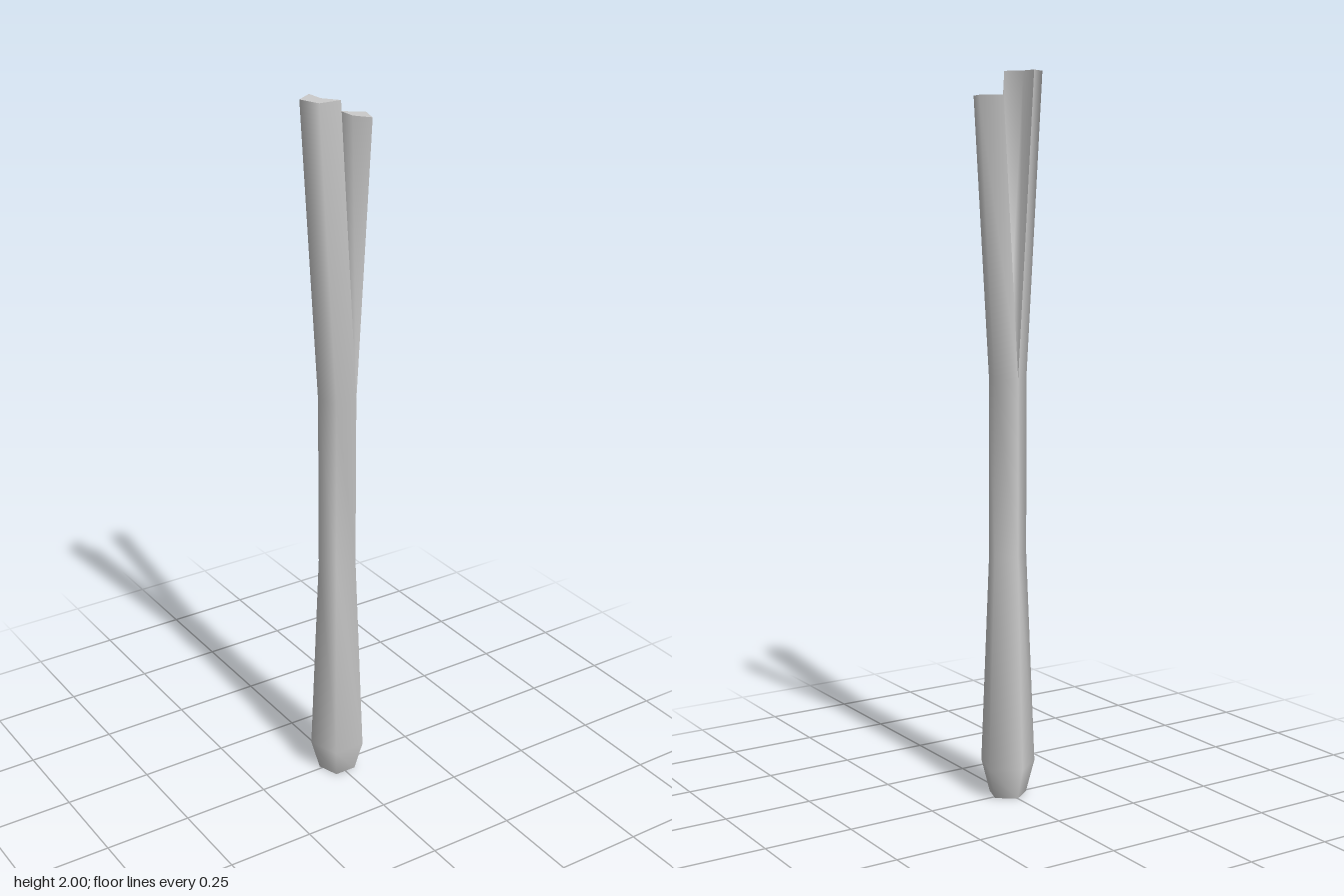
import * as THREE from 'three';

const FORK = 1.18, CZ = 0.007;

// five-sided cross-section; corner 0 is at the back, then towards +x
const ring = (y, r) => Array.from({ length: 5 }, (_, k) => {
  const a = (k * 2 * Math.PI) / 5;
  return new THREE.Vector3(r * Math.sin(a), y, CZ - r * Math.cos(a));
});

// collects shared points and faces into one smooth-shaded skin
class Skin {
  points = [];
  index = [];
  add(list) {
    return list.map((p) => this.points.push(p) - 1);
  }
  // wall between two rows of point numbers
  wall(low, high) {
    for (let i = 0; i < low.length - 1; i++) {
      const a = low[i], b = low[i + 1], c = high[i + 1], d = high[i];
      this.index.push(a, d, c, a, c, b);
    }
  }
  // flat end, fanned from the first point
  fan(ids, up) {
    for (let i = 1; i < ids.length - 1; i++) {
      this.index.push(ids[0], ...(up ? [ids[i + 1], ids[i]] : [ids[i], ids[i + 1]]));
    }
  }
  mesh(name, material) {
    const g = new THREE.BufferGeometry().setFromPoints(this.points);
    g.setIndex(this.index);
    g.computeVertexNormals();
    const m = new THREE.Mesh(g, material);
    m.name = name;
    return m;
  }
}

export function createModel() {
  const group = new THREE.Group();
  group.name = 'forkedStem';
  const material = new THREE.MeshStandardMaterial({ color: 0xcccccc });

  // trunk rings from the foot to the fork
  const rings = [[0, 0.054], [0.09, 0.079], [0.69, 0.054], [FORK, 0.054]].map(([y, r]) => ring(y, r));
  const fork = rings[rings.length - 1];
  const core = new THREE.Vector3(0, FORK, CZ);
  const section = [...fork, core]; // point 5 is the centre of the split

  // each branch carries its share of the split section up and outwards
  const branches = [
    { name: 'leftBranch', outer: [0, 1, 2], shift: new THREE.Vector3(0.063, 1.93 - FORK, -0.027) },
    { name: 'rightBranch', outer: [2, 3, 4, 0], shift: new THREE.Vector3(-0.063, 2 - FORK, 0.02) },
  ];

  // outer bark of trunk and branches
  const bark = new Skin();
  const rows = rings.map((r) => bark.add(r));
  const closed = (row) => [...row, row[0]];
  for (let i = 0; i < rows.length - 1; i++) bark.wall(closed(rows[i]), closed(rows[i + 1]));

  // inner faces of the split
  const split = new Skin();
  const splitLow = split.add([fork[0], core, fork[2]]);

  for (const { name, outer, shift } of branches) {
    const lift = (k) => section[k].clone().add(shift);
    bark.wall(outer.map((k) => rows[rows.length - 1][k]), bark.add(outer.map(lift)));

    const inner = [outer[outer.length - 1], 5, outer[0]];
    const low = inner[0] === 0 ? splitLow : [...splitLow].reverse();
    split.wall(low, split.add(inner.map(lift)));

    const end = new Skin();
    end.fan(end.add([5, ...outer].map(lift)), true);
    group.add(end.mesh(name + 'End', material));
  }

  // underside of the foot
  const foot = new Skin();
  foot.fan(foot.add(rings[0]), false);

  group.add(bark.mesh('trunkAndBranches', material), split.mesh('forkInside', material), foot.mesh('footEnd', material));
  return group;
}
